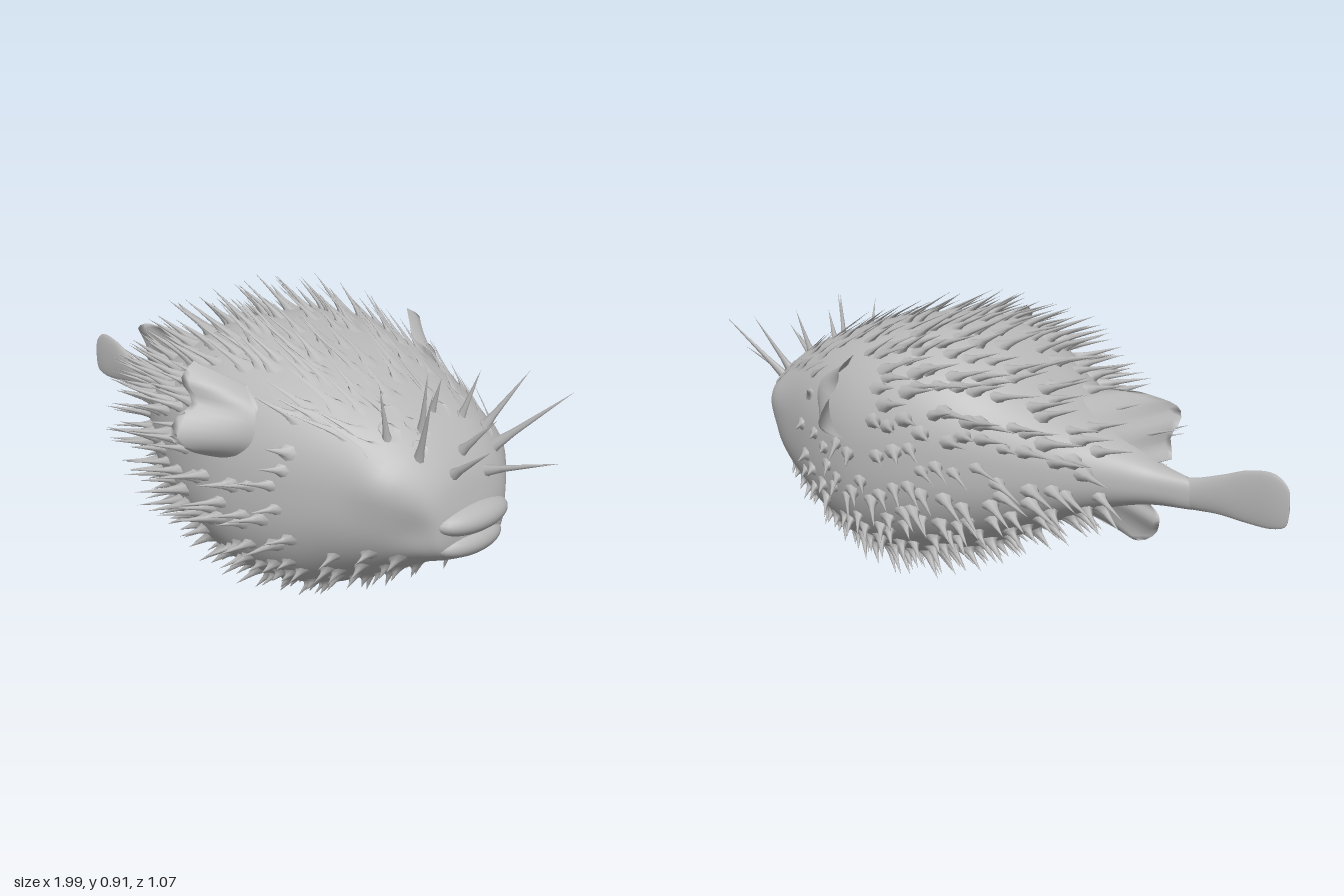
import * as THREE from 'three';
import { mergeGeometries, mergeVertices } from 'three/addons/utils/BufferGeometryUtils.js';

const V = (x, y, z) => new THREE.Vector3(x, y, z);

// small seeded random
let seed = 7;
const rnd = () => {
  seed = (seed * 16807) % 2147483647;
  return seed / 2147483647;
};

// smooth surface swept by point(u, v), u and v in 0..1
function surface(point, nu, nv) {
  const pos = [], idx = [];
  for (let i = 0; i <= nu; i++)
    for (let j = 0; j <= nv; j++) pos.push(...point(i / nu, j / nv).toArray());
  for (let i = 0; i < nu; i++)
    for (let j = 0; j < nv; j++) {
      const a = i * (nv + 1) + j, c = a + nv + 1;
      idx.push(a, a + 1, c, a + 1, c + 1, c);
    }
  let g = new THREE.BufferGeometry();
  g.setAttribute('position', new THREE.Float32BufferAttribute(pos, 3));
  g.setIndex(idx);
  g = mergeVertices(g, 1e-5);
  g.computeVertexNormals();
  return g;
}

// body outline: x, bottom y, top y, half width
const bodySections = [
  [-0.72, 0.385, 0.47, 0.02], [-0.6, 0.375, 0.495, 0.055], [-0.5, 0.35, 0.54, 0.115],
  [-0.4, 0.31, 0.59, 0.185], [-0.3, 0.26, 0.66, 0.26], [-0.2, 0.2, 0.73, 0.325],
  [-0.1, 0.15, 0.78, 0.37], [0, 0.11, 0.81, 0.4], [0.1, 0.08, 0.82, 0.415],
  [0.2, 0.065, 0.81, 0.415], [0.3, 0.07, 0.795, 0.395], [0.4, 0.1, 0.77, 0.365],
  [0.5, 0.155, 0.735, 0.325], [0.6, 0.21, 0.69, 0.28], [0.7, 0.27, 0.62, 0.22],
  [0.76, 0.295, 0.55, 0.17], [0.79, 0.315, 0.475, 0.12], [0.805, 0.36, 0.42, 0.03],
];
// tail outline in the same form
const tailSections = [
  [-0.998, 0.44, 0.46, 0.002], [-0.99, 0.4, 0.51, 0.005], [-0.95, 0.385, 0.54, 0.01],
  [-0.88, 0.385, 0.535, 0.012], [-0.8, 0.39, 0.505, 0.016], [-0.7, 0.385, 0.475, 0.022],
  [-0.6, 0.39, 0.48, 0.035],
];

// point on a lofted outline; squarer above than below
function loft(sections, topPow, lowPow) {
  const a = new THREE.CatmullRomCurve3(sections.map(s => V(s[0], s[1], s[2])));
  const b = new THREE.CatmullRomCurve3(sections.map(s => V(s[0], s[3], 0)));
  return (u, v) => {
    const p = a.getPoint(u), w = Math.max(b.getPoint(u).y, 0.001), t = v * Math.PI * 2;
    const c = Math.cos(t), s = Math.sin(t);
    const n = 2 / (c > 0 ? topPow : lowPow);
    const pw = q => Math.sign(q) * Math.pow(Math.abs(q), n);
    return V(p.x, (p.y + p.z) / 2 + pw(c) * (p.z - p.y) / 2, pw(s) * w);
  };
}

// body with soft brow bulges and hollows beside the muzzle: centre, spread, amount
const dents = [[0.66, 0.53, 0.22, 0.075, 0.018], [0.74, 0.4, 0.19, 0.06, -0.018]];
const bodyLoft = loft(bodySections, 2.5, 2.25);
function bodyPoint(u, v) {
  const p = bodyLoft(u, v);
  let push = 0;
  for (const [x, y, z, spread, amount] of dents)
    push += amount * Math.exp(-V(p.x, p.y, Math.abs(p.z)).distanceToSquared(V(x, y, z)) / spread ** 2);
  return p.add(V(0.3, 0, Math.sign(p.z)).multiplyScalar(push));
}

// thin fin between a root line and a tip line, thickest at the root
function fin(root, tip, thick, axis) {
  const r = new THREE.CatmullRomCurve3(root), e = new THREE.CatmullRomCurve3(tip);
  return surface((u, v) => {
    const t = v * Math.PI * 2, s = (1 - Math.cos(t)) / 2;
    const ripple = 0.006 * u * Math.sin(s * 16);
    return r.getPoint(s).lerp(e.getPoint(s), u)
      .addScaledVector(axis, thick * (1 - u) ** 1.5 * Math.sin(t) + ripple);
  }, 10, 40);
}

// flared thorn: its foot lies flat on the skin, its tip leans along a direction
const thornProfile = [[1.7, -0.06], [1.05, 0.08], [0.62, 0.28], [0.32, 0.62], [0, 1]];
function thorn(base, normal, dir, length, radius) {
  const g = new THREE.LatheGeometry(
    thornProfile.map(([r, h]) => new THREE.Vector2(r * radius, h * length)), 7);
  const along = V(1, 0, 0).addScaledVector(normal, -normal.x).normalize();
  const across = along.clone().cross(normal);
  g.applyMatrix4(new THREE.Matrix4()
    .makeBasis(along.multiplyScalar(1.3), dir.clone().normalize(), across)
    .setPosition(base));
  return g;
}

// thorns in staggered rings, lying back on top and standing out below
function bodyThorns() {
  const list = [], rings = 24;
  for (let i = 0; i < rings; i++) {
    const u0 = 0.135 + (i / rings) * 0.7;
    let around = 0;
    for (let k = 0; k < 24; k++)
      around += bodyPoint(u0, k / 24).distanceTo(bodyPoint(u0, (k + 1) / 24));
    const count = Math.round(around / 0.082);
    for (let k = 0; k < count; k++) {
      const u = u0 + (rnd() - 0.5) * 0.024;
      const v = (k + (i % 2) / 2 + (rnd() - 0.5) * 0.6) / count;
      const p = bodyPoint(u, v);
      const du = bodyPoint(u + 0.004, v).sub(bodyPoint(u - 0.004, v));
      const dv = bodyPoint(u, v + 0.004).sub(bodyPoint(u, v - 0.004));
      const n = dv.cross(du).normalize();
      const up = n.y, side = Math.abs(n.z);
      // bare cheeks and fin roots
      if (p.x > 0.46 && up < 0.6 && up > -0.45) continue;
      if (p.x > 0.12 && p.x < 0.4 && p.y > 0.5 && p.y < 0.74 && side > 0.5) continue;
      let length = up > 0.4 ? 0.155 : up < -0.4 ? 0.08 : 0.135;
      if (p.x > 0.25 && up < 0.5) length *= 0.6;
      const out = up > 0.4 ? 0.45 : up < -0.4 ? 0.8 : 0.72;
      const dir = n.clone().multiplyScalar(out)
        .add(V(-Math.sqrt(1 - out * out), (rnd() - 0.5) * 0.2, (rnd() - 0.5) * 0.2));
      list.push(thorn(p, n, dir, length * (0.75 + rnd() * 0.5), 0.011 + rnd() * 0.005));
    }
  }
  return mergeGeometries(list);
}

// long forehead thorns: base, then tip
const browThorns = [
  [0.75, 0.52, -0.06, 0.99, 0.61, -0.07], [0.715, 0.555, -0.14, 0.92, 0.75, -0.21],
  [0.74, 0.53, 0.06, 0.89, 0.65, 0.08], [0.715, 0.57, 0.0, 0.84, 0.7, 0.0],
  [0.695, 0.565, 0.13, 0.77, 0.79, 0.17], [0.665, 0.585, -0.16, 0.77, 0.77, -0.22],
  [0.66, 0.62, 0.08, 0.69, 0.81, 0.1], [0.65, 0.62, -0.08, 0.7, 0.78, -0.1],
  [0.63, 0.61, 0.17, 0.63, 0.78, 0.21], [0.62, 0.65, 0.0, 0.66, 0.77, 0.01],
];

export function createModel() {
  const model = new THREE.Group();
  const skin = new THREE.MeshStandardMaterial({ color: 0xb8b8b8, side: THREE.DoubleSide });
  skin.name = 'grey skin';
  const add = (name, geometry) => {
    const m = new THREE.Mesh(geometry, skin);
    m.name = name;
    model.add(m);
    return m;
  };

  add('body', surface(bodyPoint, 80, 64));
  add('tailFin', surface(loft(tailSections, 2, 2), 28, 24));
  add('bodySpines', bodyThorns());
  add('foreheadSpines', mergeGeometries(browThorns.map(([a, b, c, d, e, f]) => {
    const dir = V(d - a, e - b, f - c);
    return thorn(V(a, b, c), V(0.65, 0.7, c * 2).normalize(), dir, dir.length(), 0.013);
  })));

  // lips, meeting in a mouth crease
  const lip = (name, x, y, sx, sy, sz) => {
    const m = add(name, new THREE.SphereGeometry(1, 28, 16));
    m.position.set(x, y, 0);
    m.scale.set(sx, sy, sz);
  };
  lip('upperLip', 0.772, 0.42, 0.066, 0.045, 0.135);
  lip('lowerLip', 0.765, 0.35, 0.06, 0.042, 0.125);

  // side fins, flared outward with a notched edge
  for (const s of [1, -1]) {
    add(s > 0 ? 'leftPectoralFin' : 'rightPectoralFin', fin(
      [V(0.25, 0.72, s * 0.33), V(0.32, 0.66, s * 0.35), V(0.32, 0.59, s * 0.365), V(0.25, 0.52, s * 0.39)],
      [V(0.14, 0.78, s * 0.42), V(0.15, 0.74, s * 0.47), V(0.18, 0.68, s * 0.46), V(0.17, 0.65, s * 0.5),
        V(0.18, 0.6, s * 0.54), V(0.2, 0.56, s * 0.49), V(0.19, 0.52, s * 0.42)],
      0.02, V(0.6, 0, s * 0.8)));
  }

  // fins above and below the tail root
  add('dorsalFin', fin(
    [V(-0.3, 0.62, 0.02), V(-0.4, 0.55, 0.01), V(-0.52, 0.46, 0)],
    [V(-0.42, 0.67, 0.05), V(-0.54, 0.67, 0.06), V(-0.62, 0.655, 0.06), V(-0.645, 0.62, 0.05),
      V(-0.62, 0.56, 0.04), V(-0.64, 0.51, 0.02)],
    0.03, V(0, 0, 1)));
  add('analFin', fin(
    [V(-0.33, 0.31, 0), V(-0.42, 0.36, 0), V(-0.52, 0.39, 0)],
    [V(-0.44, 0.27, 0.01), V(-0.51, 0.245, 0.02), V(-0.56, 0.245, 0.02), V(-0.61, 0.29, 0.01),
      V(-0.62, 0.33, 0), V(-0.59, 0.37, 0)],
    0.03, V(0, 0, 1)));

  return model;
}
